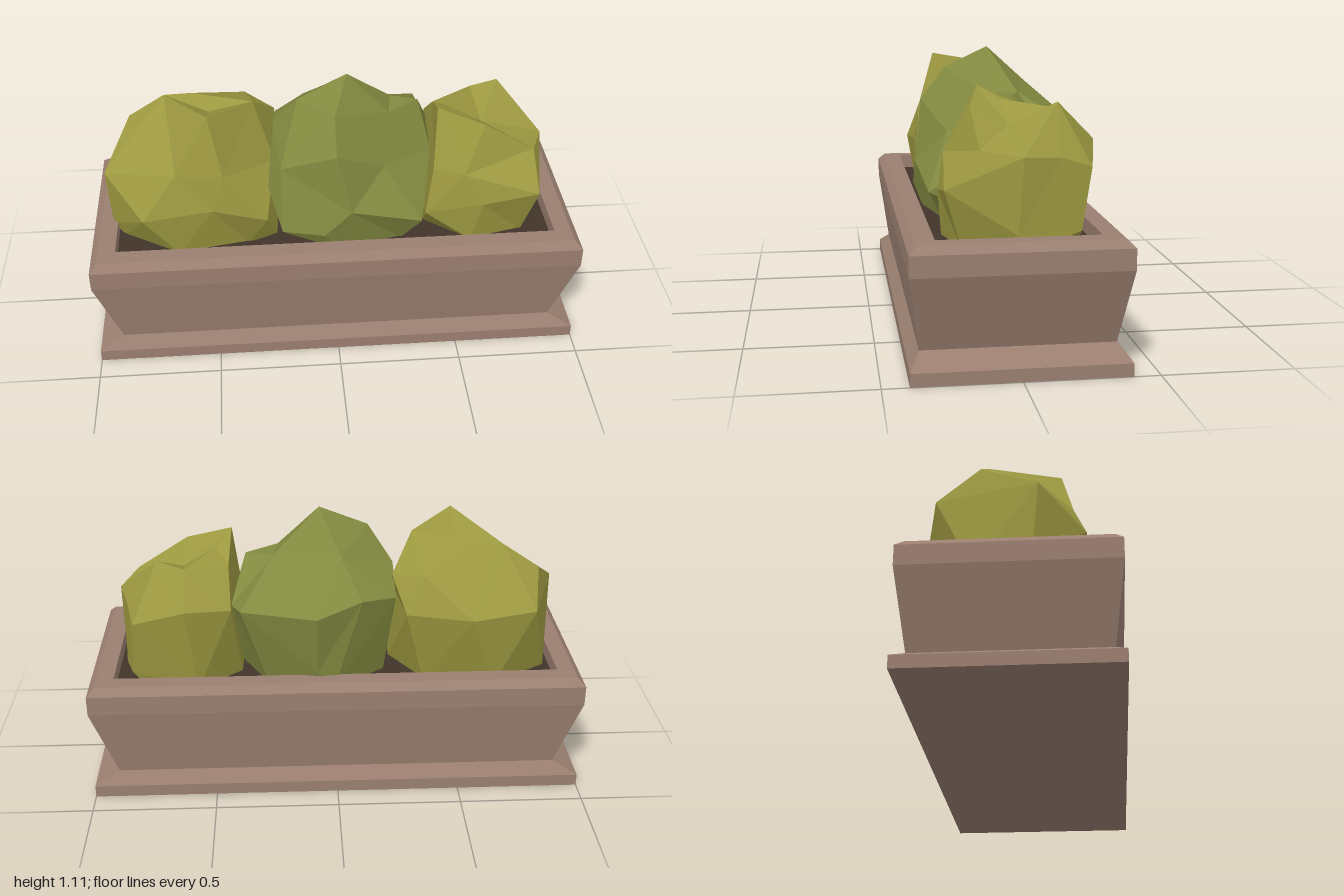
import * as THREE from 'three';
import { ConvexGeometry } from 'three/addons/geometries/ConvexGeometry.js';

// Rectangular trough: rings of [half width, half depth, height], joined by quads
function troughGeometry(rings) {
  const corner = ([w, d, y], k) => [[w, y, d], [w, y, -d], [-w, y, -d], [-w, y, d]][k % 4];
  const out = [];
  const quad = (a, b, c, d) => out.push(...a, ...b, ...c, ...a, ...c, ...d);
  for (let i = 0; i + 1 < rings.length; i++) {
    for (let k = 0; k < 4; k++) {
      quad(corner(rings[i], k), corner(rings[i], k + 1), corner(rings[i + 1], k + 1), corner(rings[i + 1], k));
    }
  }
  // underside
  quad(...[3, 2, 1, 0].map((k) => corner(rings[0], k)));
  const geometry = new THREE.BufferGeometry();
  geometry.setAttribute('position', new THREE.Float32BufferAttribute(out, 3));
  geometry.computeVertexNormals();
  return geometry;
}

// Faceted bush: a crown of corners over an oval foot of seven corners.
// Corners are joined as seen from the centre, so dents are kept.
function bushGeometry(x, footWidth, footDepth, crown) {
  const centre = new THREE.Vector3(x, 0.65, -0.02);
  const points = crown.map((p) => new THREE.Vector3(...p));
  for (let k = 0; k < 7; k++) {
    const a = (k / 7) * Math.PI * 2;
    points.push(new THREE.Vector3(x + footWidth * Math.cos(a), 0.43, footDepth * Math.sin(a) - 0.02));
  }
  const dirs = points.map((p) => p.clone().sub(centre).normalize());
  const geometry = new ConvexGeometry(dirs);
  const pos = geometry.attributes.position;
  const v = new THREE.Vector3();
  for (let i = 0; i < pos.count; i++) {
    v.fromBufferAttribute(pos, i);
    const distances = dirs.map((d) => d.distanceToSquared(v));
    const p = points[distances.indexOf(Math.min(...distances))];
    pos.setXYZ(i, p.x, p.y, p.z);
  }
  geometry.computeVertexNormals();
  return geometry;
}

export function createModel() {
  const model = new THREE.Group();
  model.name = 'planterBox';
  const add = (name, geometry, color) => {
    const mesh = new THREE.Mesh(geometry, new THREE.MeshStandardMaterial({ color, flatShading: true }));
    mesh.name = name;
    model.add(mesh);
    return mesh;
  };

  // Trough: plinth, flared wall, bevelled rim, inner wall
  add('trough', troughGeometry([
    [1, 0.4, 0], [1, 0.4, 0.05], [0.9, 0.36, 0.1], [1, 0.4, 0.39],
    [1, 0.4, 0.47], [0.97, 0.37, 0.5], [0.9, 0.3, 0.5], [0.9, 0.3, 0.43],
  ]), 0x9a7f70);

  // Soil
  const soil = add('soil', new THREE.PlaneGeometry(1.8, 0.6), 0x40342a);
  soil.rotation.x = -Math.PI / 2;
  soil.position.y = 0.44;

  // Bushes
  add('rightBush', bushGeometry(-0.57, 0.34, 0.27, [
    [-0.5, 1.04, 0.17], [-0.57, 0.99, -0.1], [-0.68, 0.98, -0.11], [-0.5, 0.96, 0],
    [-0.32, 1, 0], [-0.35, 0.9, -0.24], [-0.83, 0.88, -0.12], [-0.93, 0.75, 0.1],
    [-0.8, 0.76, -0.29], [-0.54, 0.75, -0.35], [-0.28, 0.75, -0.28], [-0.23, 0.87, -0.15],
    [-0.24, 0.75, 0.06], [-0.64, 0.8, 0.22], [-0.45, 0.8, 0.24], [-0.78, 0.62, 0.27],
    [-0.5, 0.65, 0.26], [-0.28, 0.6, 0.27], [-0.92, 0.48, 0.08], [-0.24, 0.48, 0.2],
  ]), 0x9c9840);
  add('middleBush', bushGeometry(0.08, 0.31, 0.29, [
    [0.06, 1.11, 0], [0, 1.02, 0.17], [-0.14, 1.02, 0.03], [-0.02, 0.96, -0.17],
    [0.23, 0.94, 0.03], [0.25, 0.94, -0.1], [0.36, 0.94, -0.06], [-0.24, 0.88, -0.04],
    [-0.24, 0.8, -0.22], [-0.1, 0.83, -0.32], [0.08, 0.78, -0.375], [0.38, 0.8, -0.33],
    [0.42, 0.77, -0.2], [0.41, 0.75, 0.02], [0, 0.89, 0.27], [0.2, 0.78, 0.18],
    [0.35, 0.56, 0.27], [0.06, 0.64, 0.3], [-0.22, 0.8, 0.2], [-0.27, 0.69, 0.17],
    [-0.22, 0.53, 0.26], [-0.05, 0.53, 0.3], [0.08, 0.52, -0.32],
  ]), 0x828a40);
  add('leftBush', bushGeometry(0.62, 0.26, 0.27, [
    [0.42, 0.99, 0.09], [0.61, 0.93, 0.14], [0.48, 0.94, 0], [0.62, 0.86, 0],
    [0.71, 0.955, -0.17], [0.6, 0.92, -0.18], [0.43, 0.9, -0.1], [0.42, 0.77, -0.25],
    [0.6, 0.8, -0.33], [0.81, 0.73, -0.28], [0.82, 0.8, 0.13], [0.88, 0.78, -0.02],
    [0.84, 0.77, -0.16], [0.88, 0.5, 0], [0.52, 0.75, 0.23], [0.4, 0.76, 0.19],
    [0.37, 0.57, 0.23], [0.6, 0.62, 0.26], [0.83, 0.66, 0.26], [0.83, 0.5, -0.24],
  ]), 0x9c9840);
  return model;
}
